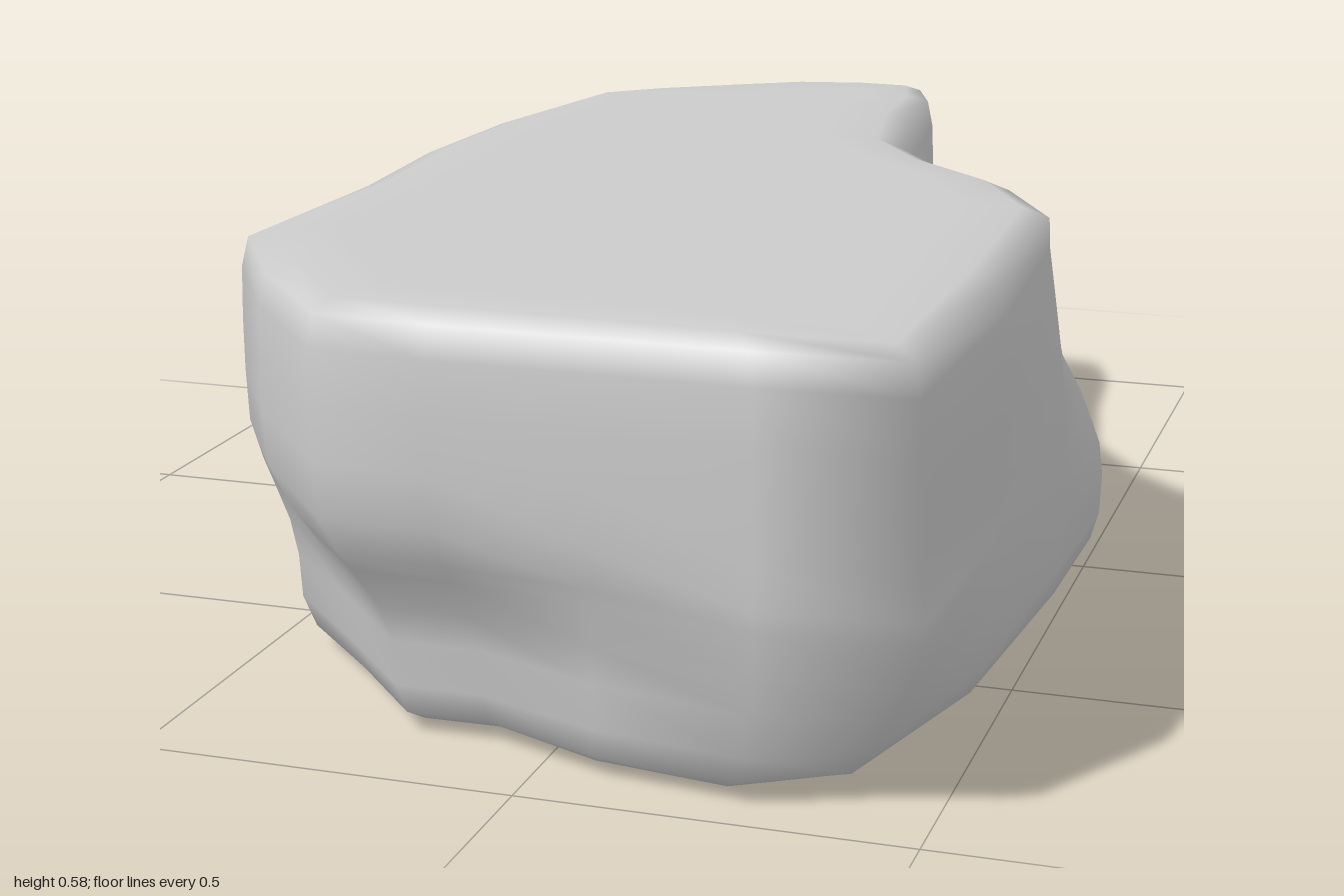
import * as THREE from 'three';

const { lerp, clamp, smoothstep } = THREE.MathUtils;

// Matching outlines [x, z], starting at the front and running counterclockwise from above
const LOWER = [
  [-0.25, 0.99], [-0.1, 1], [0.1, 1], [0.3, 1], [0.5, 0.98], [0.51, 0.6], [0.515, 0.2],
  [0.52, -0.05], [0.49, -0.2], [0.4, -0.41], [0.31, -0.52], [0.24, -0.75], [0.14, -0.94],
  [0.05, -1], [-0.16, -0.88], [-0.31, -0.78], [-0.39, -0.68], [-0.41, -0.57], [-0.48, -0.46],
  [-0.5, -0.2], [-0.52, 0.05], [-0.5, 0.3], [-0.515, 0.64], [-0.4, 0.82],
];
const UPPER = [
  [-0.25, 0.99], [-0.1, 1], [0.1, 1], [0.3, 1], [0.49, 0.99], [0.505, 0.6], [0.49, 0.22],
  [0.4, 0.06], [0.27, -0.06], [0.18, -0.19], [0.14, -0.4], [0.12, -0.6], [0.09, -0.73],
  [0, -0.81], [-0.18, -0.8], [-0.32, -0.7], [-0.38, -0.61], [-0.42, -0.54], [-0.48, -0.45],
  [-0.5, -0.2], [-0.515, 0.05], [-0.5, 0.3], [-0.515, 0.64], [-0.4, 0.82],
];

// Extra inset by outline point: low at the front left, at the worn front foot, on the back slope
const UNDERCUT = { 0: 0.12, 1: 0.12, 2: 0.06, 22: 0.06, 23: 0.1 };
const WORN_FOOT = { 3: 0.05, 4: 0.15, 5: 0.03 };
const BACK_SLOPE = { 12: 0.03, 13: 0.1, 14: 0.12, 15: 0.11, 16: 0.08, 17: 0.05, 18: 0.03 };

// Rings: height, blend to upper outline on the sides, blend at the back ledge, inset
const RINGS = [
  [0.004, 0, 0, 0.09], [0.01, 0, 0, 0.05], [0.028, 0, 0, 0.02], [0.07, 0, 0, 0.003],
  [0.13, 0.03, 0.02, 0], [0.18, 0.08, 0.05, 0], [0.24, 0.22, 0.2, 0], [0.265, 0.28, 0.7, 0],
  [0.32, 0.45, 0.92, 0], [0.39, 0.65, 1, 0], [0.46, 0.82, 1, 0], [0.53, 0.96, 1, 0.002],
  [0.57, 1, 1, 0.012], [0.583, 1, 1, 0.05], [0.584, 1, 1, 0.13],
];

// Move a point towards the long axis of the stone
function pullIn([x, z], d) {
  const dx = -0.05 - x;
  const dz = clamp(z, -0.45, 0.5) - z;
  const len = Math.hypot(dx, dz);
  return [x + (dx / len) * d, z + (dz / len) * d];
}

function stoneGeometry() {
  const n = LOWER.length;
  const pos = [];
  const index = [];
  for (const [y, side, back, inset] of RINGS) {
    for (let i = 0; i < n; i++) {
      const t = i >= 11 && i <= 14 ? back : side;
      const p = [0, 1].map((k) => lerp(LOWER[i][k], UPPER[i][k], t));
      let d = inset;
      d += (UNDERCUT[i] ?? 0) * (1 - smoothstep(y, 0.12, 0.35));
      d += (WORN_FOOT[i] ?? 0) * Math.max(0, 1 - y / 0.22);
      d += (BACK_SLOPE[i] ?? 0) * smoothstep(y, 0.42, 0.6);
      // rounded foot of the back tip
      if (i >= 12 && i <= 14) d += 0.04 * Math.max(0, 1 - y / 0.06);
      // slight unevenness of the flanks
      if (i > 4 && i < 22 && i !== 13 && y > 0.05 && y < 0.55) {
        d += 0.005 * (1 + Math.sin(i * 2.1 + y * 14));
      }
      const [x, z] = pullIn(p, d);
      pos.push(x, y, z);
    }
  }
  for (let r = 0; r < RINGS.length - 1; r++) {
    for (let i = 0; i < n; i++) {
      const a = r * n + i;
      const b = r * n + ((i + 1) % n);
      index.push(a, b, a + n, b, b + n, a + n);
    }
  }
  // flat underside and top
  const bottom = pos.length / 3;
  pos.push(-0.02, 0, 0, -0.05, 0.584, 0.05);
  const top = (RINGS.length - 1) * n;
  for (let i = 0; i < n; i++) {
    const j = (i + 1) % n;
    index.push(bottom, j, i, bottom + 1, top + i, top + j);
  }
  const geo = new THREE.BufferGeometry();
  geo.setAttribute('position', new THREE.Float32BufferAttribute(pos, 3));
  geo.setIndex(index);
  geo.computeVertexNormals();
  return geo;
}

export function createModel() {
  const group = new THREE.Group();
  group.name = 'rock';
  const stone = new THREE.Mesh(stoneGeometry(), new THREE.MeshStandardMaterial({ color: 0xcccccc }));
  stone.name = 'stone';
  group.add(stone);
  return group;
}
